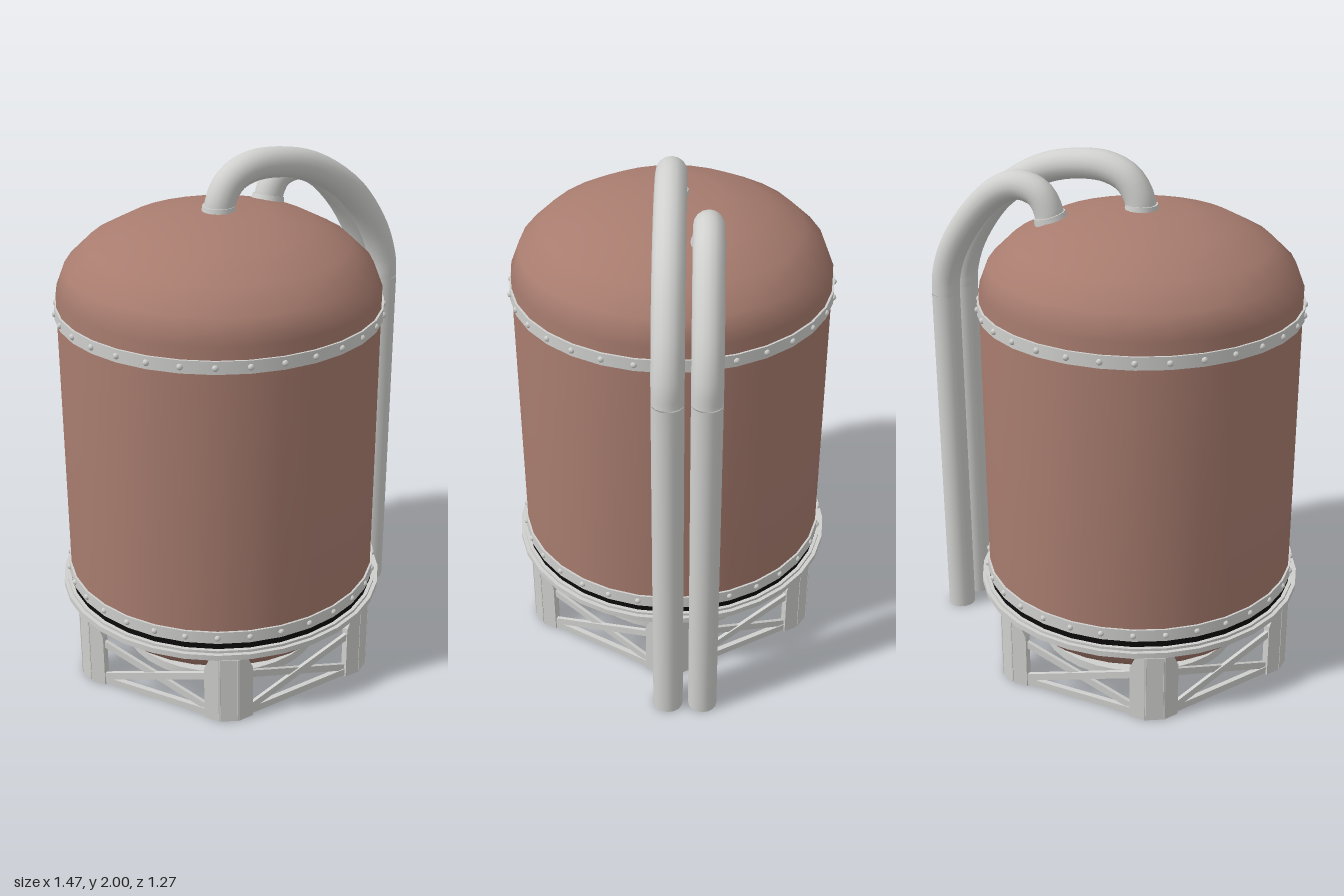
import * as THREE from 'three';

const paint = (name, color, side = THREE.FrontSide) => {
  const m = new THREE.MeshStandardMaterial({ color, side });
  m.name = name;
  return m;
};

export function createModel() {
  const clay = paint('clay tank', 0xa87c6f);
  const steel = paint('light steel', 0xcfcfcd);
  const black = paint('black seal', 0x0c0a0a);
  const pipeSteel = paint('pipe steel', 0xd0d0ce, THREE.DoubleSide);

  const model = new THREE.Group();
  model.name = 'storageTank';
  const tank = new THREE.Group();
  tank.name = 'tank';
  tank.position.x = -0.1;
  model.add(tank);

  const add = (parent, name, geometry, material, x = 0, y = 0, z = 0) => {
    const mesh = new THREE.Mesh(geometry, material);
    mesh.name = name;
    mesh.position.set(x, y, z);
    parent.add(mesh);
    return mesh;
  };
  const disc = (name, r, y0, y1, material) =>
    add(tank, name, new THREE.CylinderGeometry(r, r, y1 - y0, 32), material, 0, (y0 + y1) / 2);

  // Vessel: straight wall with matching domes above and below
  const dome = [[0, 0.3], [0.18, 0.295], [0.355, 0.25], [0.487, 0.18], [0.57, 0.1], [0.605, 0.01]];
  const profile = [
    ...dome.map(([r, h]) => new THREE.Vector2(r, 0.33 - h)),
    ...dome.map(([r, h]) => new THREE.Vector2(r, 1.502 + h)).reverse(),
  ];
  add(tank, 'vessel', new THREE.LatheGeometry(profile, 32), clay);

  // Base plate, support ring and dark seal
  disc('basePlate', 0.4, 0.025, 0.06, steel);
  disc('supportRing', 0.622, 0.27, 0.312, steel);
  disc('supportRingLip', 0.637, 0.28, 0.302, steel);
  disc('seal', 0.608, 0.312, 0.34, black);

  // Riveted bands
  const rivet = new THREE.SphereGeometry(0.012, 8, 6);
  for (const [name, y] of [['lowerBand', 0.362], ['upperBand', 1.44]]) {
    disc(name, 0.613, y - 0.024, y + 0.024, steel);
    for (let i = 0; i < 32; i++) {
      const a = (i / 32) * Math.PI * 2;
      add(tank, name + 'Rivet', rivet, steel, 0.611 * Math.sin(a), y, 0.611 * Math.cos(a));
    }
  }

  // Hexagonal stand: each side has two leg flanges, a cross brace and a foot rail
  const flangeShape = new THREE.Shape([
    [0.22, 0], [0.287, 0], [0.287, 0.275], [0.245, 0.275], [0.22, 0.22],
  ].map(([x, y]) => new THREE.Vector2(x, y)));
  const mirroredShape = new THREE.Shape(
    flangeShape.getPoints().map((p) => new THREE.Vector2(-p.x, p.y)).reverse());
  const plate = { depth: 0.03, bevelEnabled: false };
  const flanges = [flangeShape, mirroredShape].map((s) => new THREE.ExtrudeGeometry(s, plate));
  const post = new THREE.BoxGeometry(0.078, 0.275, 0.05);
  const braceLength = Math.hypot(0.47, 0.155);
  const brace = new THREE.BoxGeometry(braceLength, 0.028, 0.014);
  const rail = new THREE.BoxGeometry(0.5, 0.028, 0.02);

  for (let k = 0; k < 6; k++) {
    const side = new THREE.Group();
    side.name = 'standSide';
    side.rotation.y = (k * Math.PI) / 3;
    tank.add(side);
    flanges.forEach((g) => add(side, 'legFlange', g, steel, 0, 0, 0.5335));
    for (const s of [-1, 1]) {
      add(side, 'crossBrace', brace, steel, 0, 0.11, 0.548 + s * 0.003)
        .rotation.z = s * Math.atan2(0.155, 0.47);
    }
    add(side, 'footRail', rail, steel, 0, 0.018, 0.546);

    const corner = new THREE.Group();
    corner.name = 'legCorner';
    corner.rotation.y = ((k + 0.5) * Math.PI) / 3;
    tank.add(corner);
    add(corner, 'legPost', post, steel, 0, 0.1375, 0.605);
  }

  // Pipes: arch out of the top dome, then drop straight to the ground
  const pipe = (name, z, radius, points) => {
    const arch = new THREE.CatmullRomCurve3(
      points.map(([x, y]) => new THREE.Vector3(x, y, z)), false, 'centripetal');
    add(model, name + 'Arch', new THREE.TubeGeometry(arch, 40, radius, 16), pipeSteel);
    const [x, y] = points[points.length - 1];
    add(model, name + 'Drop', new THREE.CylinderGeometry(radius, radius, y, 16, 1, true),
      pipeSteel, x, y / 2, z);
  };
  pipe('mainPipe', 0, 0.057, [[-0.1, 1.76], [-0.093, 1.83], [-0.05, 1.9], [0.02, 1.935],
    [0.12, 1.943], [0.3, 1.905], [0.49, 1.785], [0.62, 1.61], [0.668, 1.48], [0.675, 1.4]]);
  pipe('rearPipe', -0.133, 0.055, [[0.205, 1.7], [0.212, 1.78], [0.25, 1.845], [0.33, 1.87],
    [0.42, 1.84], [0.53, 1.74], [0.63, 1.59], [0.668, 1.48], [0.675, 1.4]]);

  // Pipe collars on the dome
  const collar = new THREE.CylinderGeometry(0.06, 0.064, 0.025, 20);
  add(model, 'mainPipeCollar', collar, steel, -0.1, 1.805, 0);
  add(model, 'rearPipeCollar', collar, steel, 0.207, 1.762, -0.133).rotation.set(-0.1, 0, -0.25);

  return model;
}
